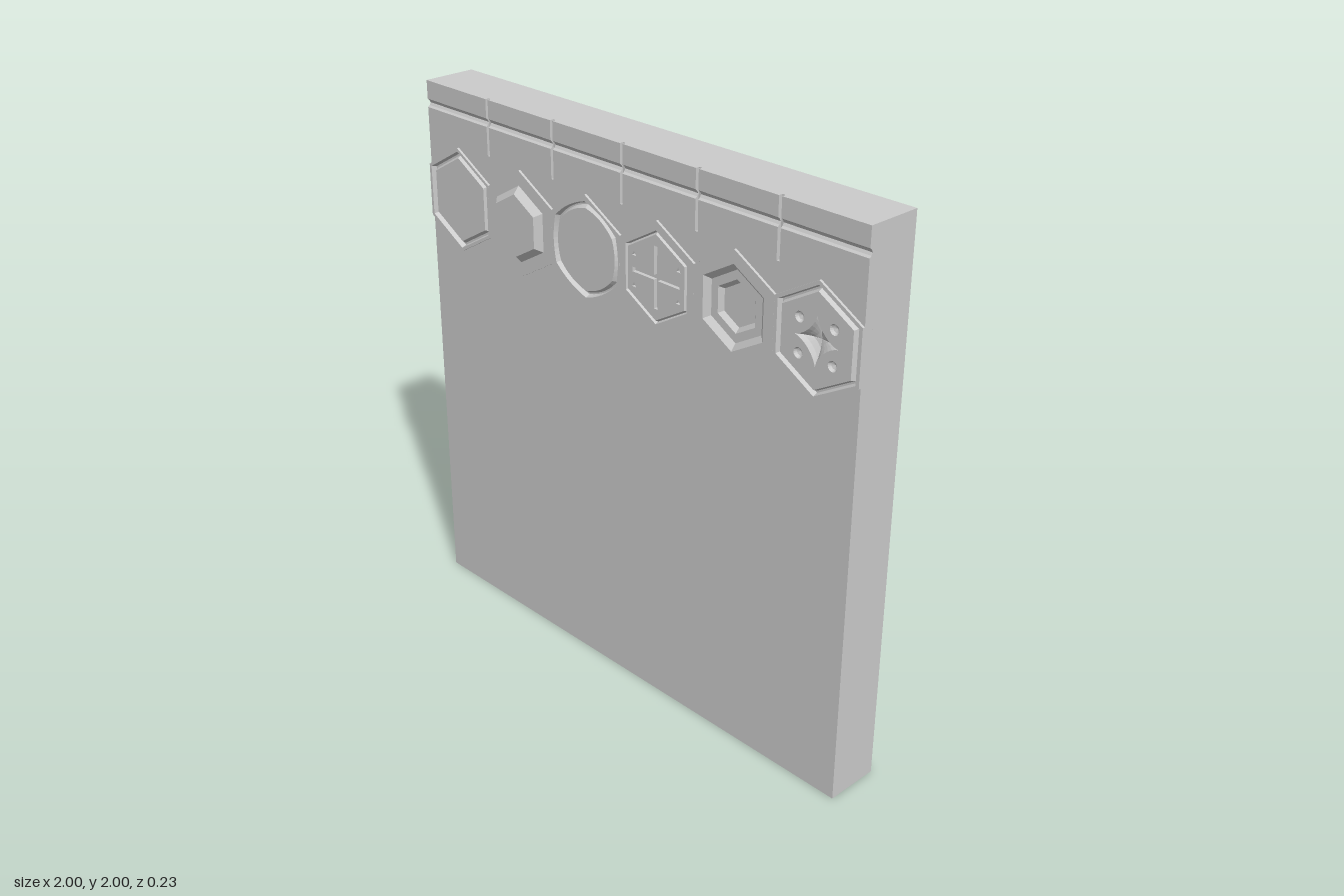
import * as THREE from 'three';
import { mergeGeometries } from 'three/addons/utils/BufferGeometryUtils.js';

const BACK = -0.116, FACE = 0.084, CORE = 0.05, TILE = 0.093;
const V2 = (x, y) => new THREE.Vector2(x, y);
const material = new THREE.MeshStandardMaterial({ color: 0xcccccc, flatShading: true });

function add(group, name, geometry) {
  const mesh = new THREE.Mesh(geometry, material);
  mesh.name = name;
  group.add(mesh);
  return mesh;
}

function block(group, name, y0, y1, z1) {
  const mesh = add(group, name, new THREE.BoxGeometry(2, y1 - y0, z1 - BACK));
  mesh.position.set(0, (y0 + y1) / 2, (BACK + z1) / 2);
}

// Pointed-top hexagon outline, optionally blended towards a circle
function hex(R, n = 6, round = 0) {
  return Array.from({ length: n }, (_, i) => {
    const a = (i / n) * Math.PI * 2;
    const edge = R * Math.cos(Math.PI / 6) / Math.cos((a % (Math.PI / 3)) - Math.PI / 6);
    const r = THREE.MathUtils.lerp(edge, R * 0.93, round);
    return V2(r * Math.cos(a + Math.PI / 2), r * Math.sin(a + Math.PI / 2));
  });
}

function circle(R, n, x, y) {
  return Array.from({ length: n }, (_, i) => {
    const a = (i / n) * Math.PI * 2 + Math.PI / 2;
    return V2(x + R * Math.cos(a), y + R * Math.sin(a));
  });
}

// Skin between successive outlines [points, z]
function loft(rings) {
  const pos = [];
  for (let k = 0; k < rings.length - 1; k++) {
    const [A, za] = rings[k], [B, zb] = rings[k + 1], n = A.length;
    for (let i = 0; i < n; i++) {
      const j = (i + 1) % n;
      pos.push(A[i].x, A[i].y, za, A[j].x, A[j].y, za, B[j].x, B[j].y, zb);
      pos.push(A[i].x, A[i].y, za, B[j].x, B[j].y, zb, B[i].x, B[i].y, zb);
    }
  }
  const g = new THREE.BufferGeometry();
  g.setAttribute('position', new THREE.Float32BufferAttribute(pos, 3));
  g.computeVertexNormals();
  return g;
}

function cap(points, z, holes = []) {
  const shape = new THREE.Shape(points);
  shape.holes = holes.map((h) => new THREE.Path(h));
  const g = new THREE.ShapeGeometry(shape).toNonIndexed().translate(0, 0, z);
  g.deleteAttribute('uv');
  return g;
}

// Sunken pit: outline shrinking about (x, y) through [scale, depth] steps
function pit(outline, x, y, z, steps) {
  const shrink = (s) => outline.map((p) => V2(x + (p.x - x) * s, y + (p.y - y) * s));
  return loft([[outline, z], ...steps.map(([s, d]) => [shrink(s), z - d])]);
}

// Hexagonal tile from [radius, z, roundness] steps, closed by a cap with cut-outs
function tile(steps, n = 6, holes = [], extras = []) {
  const rings = [[0.1924, CORE], [0.1924, TILE], ...steps].map(([R, z, r]) => [hex(R, n, r), z]);
  const [top, z] = rings[rings.length - 1];
  return mergeGeometries([loft(rings), cap(top, z, holes), ...extras]);
}

function crossTile() {
  const a = 0.107, w = 0.008;
  const cross = [[a, -w], [a, w], [w, w], [w, a], [-w, a], [-w, w], [-a, w], [-a, -w],
    [-w, -w], [-w, -a], [w, -a], [w, -w]].map(([x, y]) => V2(x, y));
  const holes = [cross], extras = [loft([[cross, TILE], [cross, TILE - 0.014]]), cap(cross, TILE - 0.014)];
  for (const sx of [-1, 1]) for (const sy of [-1, 1]) {
    const x = sx * 0.1, y = sy * 0.054, dot = circle(0.011, 3, x, y);
    holes.push(dot);
    extras.push(pit(dot, x, y, TILE, [[0, 0.01]]));
  }
  return tile([[0.16, TILE], [0.154, 0.08], [0.147, TILE]], 6, holes, extras);
}

function starTile() {
  // Four-pointed star hollow with a round dimple between each pair of points
  const star = Array.from({ length: 40 }, (_, i) => {
    const a = (i / 40) * Math.PI * 2;
    return V2(0.085 * Math.cos(a) ** 3, 0.085 * Math.sin(a) ** 3);
  });
  const holes = [star], extras = [pit(star, 0, 0, TILE, [[0.75, 0.012], [0.4, 0.023], [0, 0.028]])];
  for (const sx of [-1, 1]) for (const sy of [-1, 1]) {
    const x = sx * 0.066, y = sy * 0.058, dot = circle(0.018, 16, x, y);
    holes.push(dot);
    extras.push(pit(dot, x, y, TILE, [[0.7, 0.01], [0, 0.015]]));
  }
  return tile([[0.178, TILE], [0.172, 0.075], [0.165, 0.075], [0.157, TILE]], 6, holes, extras);
}

export function createModel() {
  const group = new THREE.Group();

  // Plain wall and the cores behind the decorated bands
  block(group, 'lowerWall', 0, 1.4, FACE);
  block(group, 'friezeCore', 1.4, 1.8, CORE);
  block(group, 'corniceCore', 1.8, 2, 0.07);

  // Cornice: six blocks with a horizontal groove, separated by narrow joints
  const profile = new THREE.Shape([V2(0.06, 1.8), V2(FACE, 1.8), V2(FACE, 1.903), V2(0.077, 1.909),
    V2(0.072, 1.918), V2(0.077, 1.927), V2(FACE, 1.933), V2(FACE, 2), V2(0.06, 2)]);
  for (let i = 0; i < 6; i++) {
    const x0 = -1 + i / 3 + (i > 0 ? 0.006 : 0), x1 = -1 + (i + 1) / 3 - (i < 5 ? 0.006 : 0);
    const g = new THREE.ExtrudeGeometry(profile, { depth: x1 - x0, bevelEnabled: false });
    g.rotateY(-Math.PI / 2).applyMatrix4(new THREE.Matrix4().makeRotationY(Math.PI));
    // Profile x now runs along -z; turn it to face the front
    g.rotateY(Math.PI);
    g.computeBoundingBox();
    g.translate(x1 - g.boundingBox.max.x, 0, FACE - g.boundingBox.max.z);
    add(group, 'corniceBlock', g);
  }

  // Zigzag infill above and below the tiles
  for (const s of [1, -1]) {
    const pts = [V2(1, 0.2 * s), V2(-1, 0.2 * s)];
    for (let i = 0; i <= 12; i++) pts.push(V2(-1 + i / 6, s * (i % 2 ? 0.1924 : 0.0962)));
    const g = new THREE.ExtrudeGeometry(new THREE.Shape(pts), { depth: FACE - CORE, bevelEnabled: false });
    add(group, s > 0 ? 'upperInfill' : 'lowerInfill', g).position.set(0, 1.6, CORE);
  }

  // Row of six hexagonal tiles
  const tiles = {
    panelTile: tile([[0.18, TILE], [0.173, 0.075], [0.165, 0.075], [0.155, 0.09]]),
    raisedTile: tile([[0.139, TILE], [0.113, 0.116]]),
    roundedTile: tile([[0.176, TILE, 0.5], [0.169, 0.076, 0.6], [0.163, 0.076, 0.65], [0.153, 0.09, 0.7]], 48),
    crossTile: crossTile(),
    steppedTile: tile([[0.145, TILE], [0.122, 0.075], [0.09, 0.075], [0.074, 0.06]]),
    starTile: starTile(),
  };
  Object.entries(tiles).forEach(([name, g], i) => add(group, name, g).position.set(-5 / 6 + i / 3, 1.6, 0));

  return group;
}
